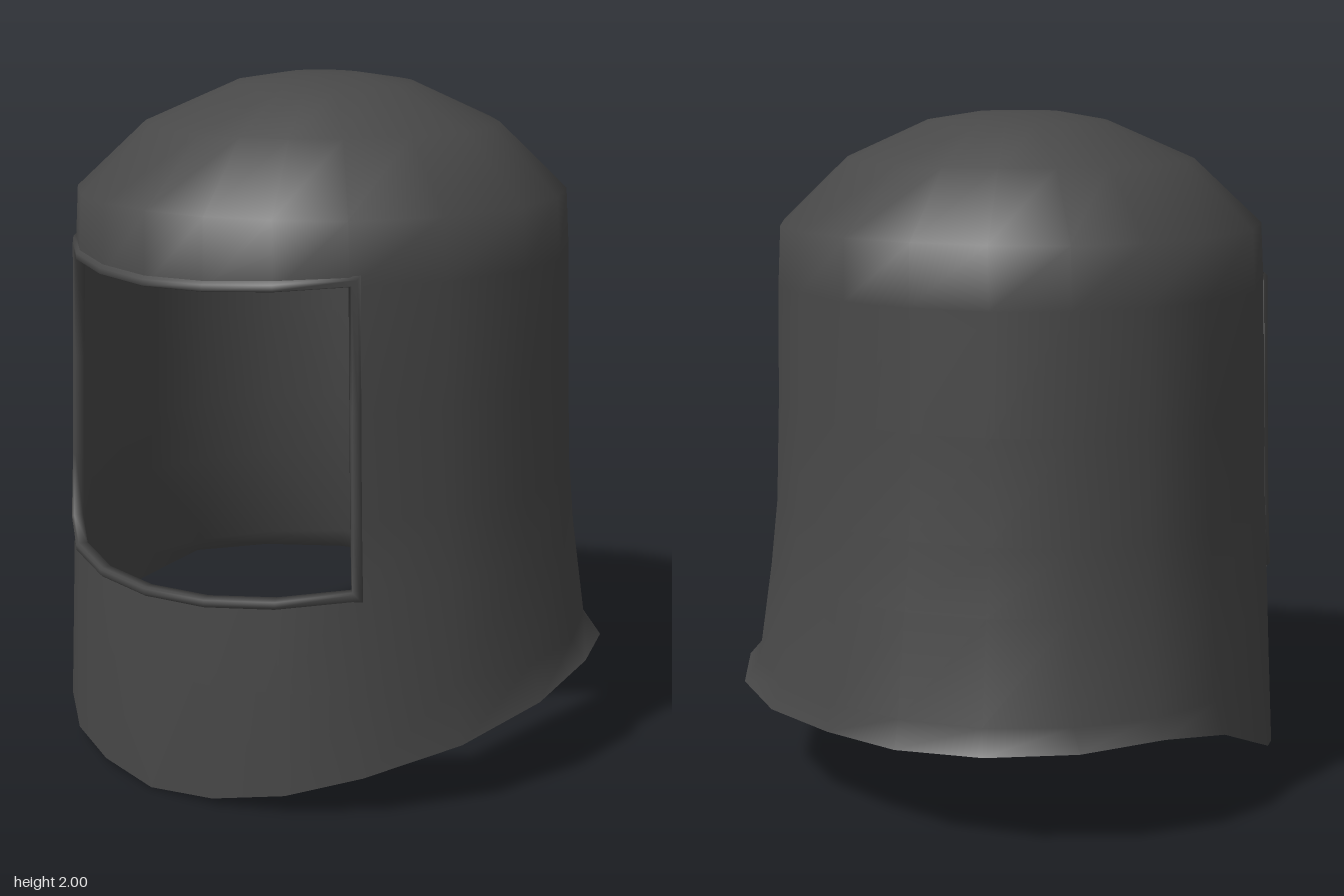
import * as THREE from 'three';

const charcoal = new THREE.MeshStandardMaterial({ color: 0x484848, side: THREE.DoubleSide });
charcoal.name = 'charcoal';

// Column angles in degrees from the front (+z) round one side to the back
const HALF = [0, 15.5, 31, 46.8, 68, 90, 108, 126, 144, 162, 180];
const COLS = 20;
const EDGE = 3; // the face opening spans columns -3..3

// Lower hem height per column: left (+x) side and right (-x) side
const HEM_L = [0, 0.02, 0.06, 0.12, 0.19, 0.25, 0.305, 0.3, 0.29, 0.28, 0.275];
const HEM_R = [0, 0.02, 0.04, 0.07, 0.15, 0.268, 0.31, 0.3, 0.29, 0.28, 0.275];
const SILL = [0.61, 0.615, 0.63, 0.655];
const BROW = [1.465, 1.47, 1.48, 1.495];

// Rings from hem to crown: height (number or per-column rule), half width, front z, back z
const RINGS = [
  { y: (k, left) => (left ? HEM_L : HEM_R)[k], w: 0.82, f: 0.76, b: 0.775, bulge: 0.055 },
  { y: () => 0.36, w: 0.79, f: 0.767, b: 0.762, bulge: 0.02 },
  { y: (k) => SILL[Math.min(k, EDGE)], w: 0.768, f: 0.766, b: 0.73 },
  { y: () => 0.85, w: 0.756, f: 0.76, b: 0.703 },
  { y: () => 1.15, w: 0.746, f: 0.754, b: 0.692 },
  { y: (k) => BROW[Math.min(k, EDGE)], w: 0.735, f: 0.747, b: 0.689 },
  { y: () => 1.67, w: 0.722, f: 0.74, b: 0.683 },
  { y: () => 1.86, w: 0.525, f: 0.53, b: 0.485 },
  { y: () => 1.972, w: 0.27, f: 0.27, b: 0.25 },
  { y: () => 1.996, w: 0.12, f: 0.14, b: 0.1 },
];
const SILL_RING = 2, BROW_RING = 5;

// Signed column (-10..10) to angle; positive columns run towards +x
const angle = (c) => Math.sign(c) * THREE.MathUtils.degToRad(HALF[Math.abs(c)]);

function shellPoint(c, r) {
  const ring = RINGS[r], a = angle(c), k = Math.abs(c);
  const swell = k > 5 ? 1 + (ring.bulge || 0) * Math.sin(2 * (Math.abs(a) - Math.PI / 2)) : 1;
  return new THREE.Vector3(
    Math.sin(a) * ring.w * swell,
    ring.y(k, c >= 0),
    Math.cos(a) * (k <= 5 ? ring.f : ring.b) * swell
  );
}

function makeMesh(name, points, index) {
  const geo = new THREE.BufferGeometry().setFromPoints(points);
  geo.setIndex(index);
  geo.computeVertexNormals();
  const mesh = new THREE.Mesh(geo, charcoal);
  mesh.name = name;
  return mesh;
}

// Domed hood with the face opening left out
function makeHood() {
  const points = [], index = [];
  for (let r = 0; r < RINGS.length; r++)
    for (let i = 0; i < COLS; i++) points.push(shellPoint(i - 10, r));
  const apex = points.push(new THREE.Vector3(0, 2, 0.02)) - 1;
  for (let r = 0; r < RINGS.length; r++) {
    for (let i = 0; i < COLS; i++) {
      const c = i - 10, j = (i + 1) % COLS;
      if (r >= SILL_RING && r < BROW_RING && c >= -EDGE && c < EDGE) continue;
      const a = r * COLS + i, b = r * COLS + j;
      if (r === RINGS.length - 1) index.push(a, b, apex);
      else index.push(a, b, b + COLS, a, b + COLS, a + COLS);
    }
  }
  return makeMesh('hood', points, index);
}

// Raised lip swept round the face opening
function makeOpeningLip() {
  const path = [];
  for (let c = -EDGE; c < EDGE; c++) path.push([c, SILL_RING]);
  for (let r = SILL_RING; r < BROW_RING; r++) path.push([EDGE, r]);
  for (let c = EDGE; c > -EDGE; c--) path.push([c, BROW_RING]);
  for (let r = BROW_RING; r > SILL_RING; r--) path.push([-EDGE, r]);

  // Lip section: [distance away from the opening, distance out of the shell]
  const section = [[0.03, -0.002], [0.02, 0.009], [0.004, 0.01], [0, 0.002], [0, -0.025], [0.03, -0.025]];
  const points = [], index = [], n = section.length;
  path.forEach(([c, r], i) => {
    const a = angle(c), p = shellPoint(c, r);
    const side = Math.abs(c) === EDGE ? Math.sign(c) : 0;
    const up = r === SILL_RING ? -1 : r === BROW_RING ? 1 : 0;
    const out = new THREE.Vector3(Math.sin(a), 0, Math.cos(a));
    const away = new THREE.Vector3(Math.cos(a) * side, up, -Math.sin(a) * side);
    for (const [d, o] of section)
      points.push(p.clone().addScaledVector(away, d).addScaledVector(out, o));
    const next = ((i + 1) % path.length) * n;
    for (let k = 0; k < n - 1; k++) {
      const s = i * n + k, t = next + k;
      index.push(s, t, t + 1, s, t + 1, s + 1);
    }
  });
  return makeMesh('openingLip', points, index);
}

export function createModel() {
  const group = new THREE.Group();
  group.name = 'hoodedHelmet';
  group.add(makeHood(), makeOpeningLip());
  return group;
}
